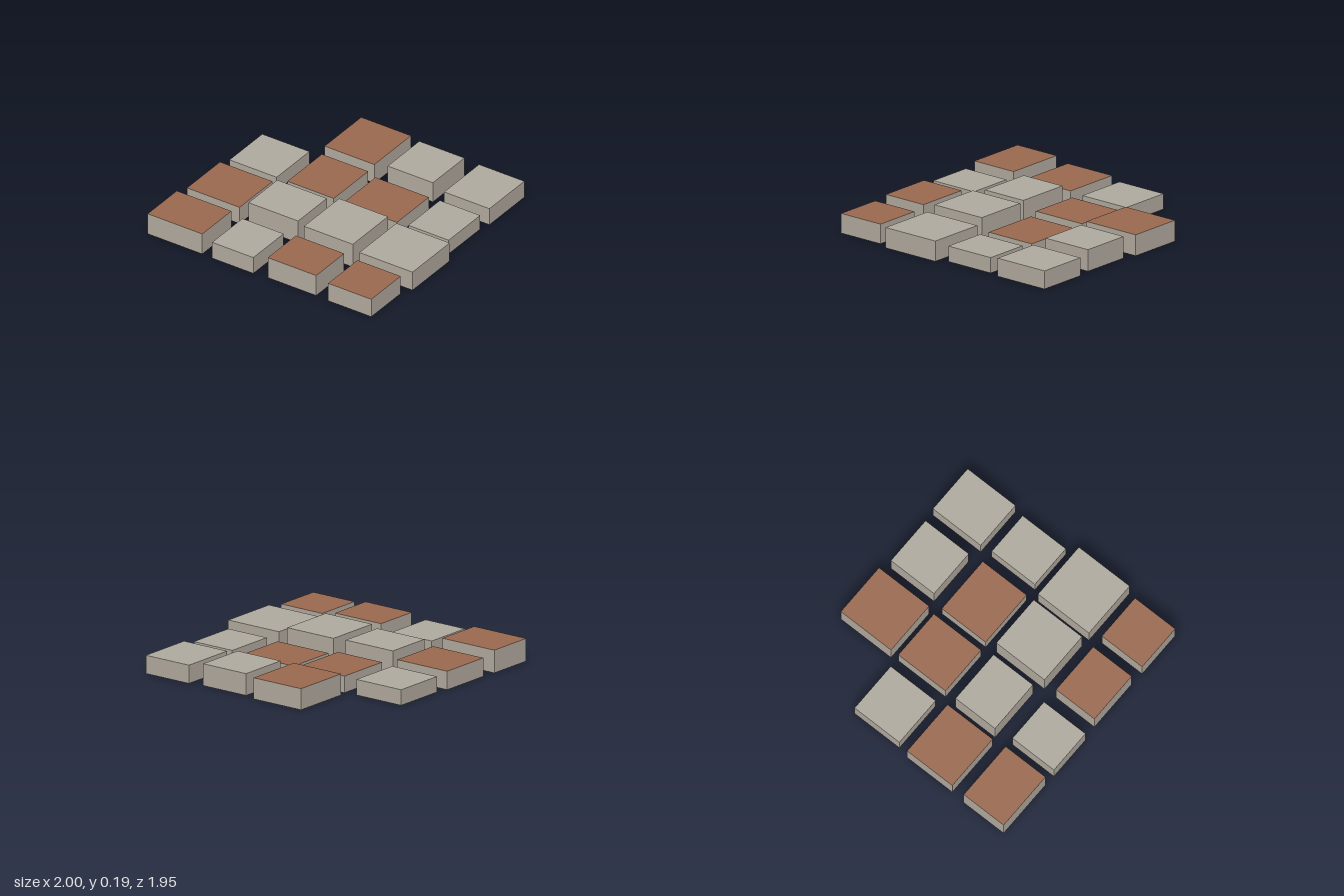
import * as THREE from 'three';

const material = (name, color) => {
  const m = new THREE.MeshStandardMaterial({ color, side: THREE.DoubleSide });
  m.name = name;
  return m;
};

// Each block: x min, x max, z min, z max, height, has a tiled roof
const ROWS = [
  [ // back row, with one empty plot
    [-0.47, -0.035, -0.98, -0.513, 0.16, true],
    [0.06, 0.455, -0.947, -0.545, 0.165, false],
    [0.567, 0.963, -0.97, -0.525, 0.138, false],
  ],
  [
    [-0.968, -0.556, -0.445, -0.028, 0.118, false],
    [-0.455, -0.05, -0.457, -0.018, 0.126, true],
    [0.023, 0.49, -0.443, -0.035, 0.108, true],
    [0.588, 0.941, -0.44, -0.038, 0.118, false],
  ],
  [
    [-0.99, -0.53, 0.062, 0.482, 0.14, true],
    [-0.47, -0.037, 0.088, 0.455, 0.188, false],
    [0.043, 0.47, 0.048, 0.497, 0.195, false],
    [0.535, 1, 0.035, 0.508, 0.155, false],
  ],
  [ // front row
    [-1, -0.523, 0.597, 0.968, 0.172, true],
    [-0.433, -0.073, 0.587, 0.973, 0.136, false],
    [0.045, 0.468, 0.603, 0.96, 0.172, true],
    [0.578, 0.955, 0.594, 0.968, 0.15, true],
  ],
];

export function createModel() {
  const model = new THREE.Group();
  model.name = 'cityBlocks';
  const wall = material('wallStone', 0xb5ada2);
  const flat = material('flatRoofGrey', 0xb0aca0);
  const tile = material('tiledRoofRed', 0x9c6a50);

  // Unit ring of four walls, open above and below
  const ring = new THREE.CylinderGeometry(Math.SQRT1_2, Math.SQRT1_2, 1, 4, 1, true)
    .rotateY(Math.PI / 4).translate(0, 0.5, 0).toNonIndexed();
  ring.computeVertexNormals();
  // Unit roof sheet at the top of the walls
  const sheet = new THREE.PlaneGeometry(1, 1).rotateX(-Math.PI / 2).translate(0, 1, 0);

  ROWS.flat().forEach(([x0, x1, z0, z1, height, tiled], i) => {
    const block = new THREE.Group();
    block.name = `building${i + 1}`;
    const walls = new THREE.Mesh(ring, wall);
    walls.name = 'walls';
    const roof = new THREE.Mesh(sheet, tiled ? tile : flat);
    roof.name = 'roof';
    block.add(walls, roof);
    block.position.set((x0 + x1) / 2, 0, (z0 + z1) / 2);
    block.scale.set(x1 - x0, height, z1 - z0);
    model.add(block);
  });
  return model;
}
